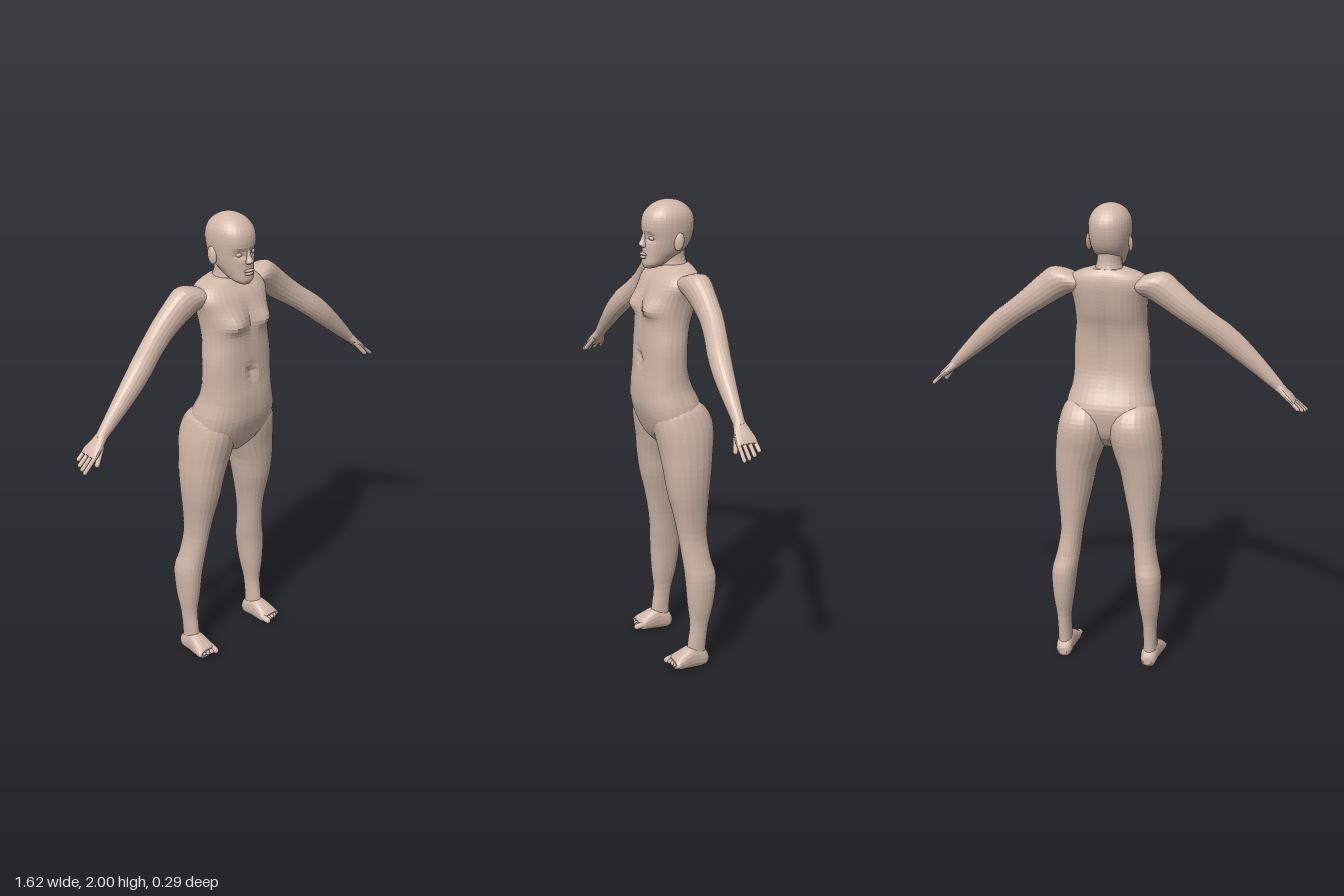
import * as THREE from 'three';

const skin = new THREE.MeshStandardMaterial({ color: 0xd0b6a7 });
skin.name = 'skin';
const X = new THREE.Vector3(1, 0, 0), Y = new THREE.Vector3(0, 1, 0), Z = new THREE.Vector3(0, 0, 1);

// Catmull-Rom blend between key rings
function refine(keys, sub) {
  const out = [];
  for (let i = 0; i < keys.length - 1; i++) {
    const p = [-1, 0, 1, 2].map(k => keys[Math.min(keys.length - 1, Math.max(0, i + k))]);
    for (let s = 0; s < sub; s++) {
      const t = s / sub;
      out.push(p[1].map((b, c) => {
        const a = p[0][c], d = p[2][c], e = p[3][c];
        return b + 0.5 * t * (d - a + t * (2 * a - 5 * b + 4 * d - e + t * (3 * (b - d) + e - a)));
      }));
    }
  }
  out.push(keys[keys.length - 1]);
  return out;
}

// Skin over rings [cx, cy, cz, ra, rb] whose half-axes lie along A and B
function loft(keys, A, B, { segs = 20, sub = 3, power = 1, rule, side = 1 } = {}) {
  const rings = refine(keys, sub), n = rings.length, pos = [], idx = [];
  const soft = v => Math.sign(v) * Math.abs(v) ** power;
  const add = v => { if (rule) rule(v); pos.push(v.x * side, v.y, v.z); };
  const centre = r => new THREE.Vector3(r[0], r[1], r[2]);
  for (const r of rings) for (let j = 0; j < segs; j++) {
    const t = (j / segs) * Math.PI * 2;
    add(centre(r).addScaledVector(A, soft(Math.cos(t)) * r[3]).addScaledVector(B, soft(Math.sin(t)) * r[4]));
  }
  add(centre(rings[0]));
  add(centre(rings[n - 1]));
  const way = centre(rings[n - 1]).sub(centre(rings[0])).dot(A.clone().cross(B)) * side;
  const tri = (a, b, c) => way > 0 ? idx.push(a, b, c) : idx.push(a, c, b);
  for (let j = 0; j < segs; j++) {
    const k = (j + 1) % segs;
    for (let i = 0; i < n - 1; i++) {
      const a = i * segs + j, b = i * segs + k;
      tri(a, b, b + segs);
      tri(a, b + segs, a + segs);
    }
    tri(n * segs, k, j);
    tri(n * segs + 1, (n - 1) * segs + j, (n - 1) * segs + k);
  }
  const g = new THREE.BufferGeometry();
  g.setAttribute('position', new THREE.Float32BufferAttribute(pos, 3));
  g.setIndex(idx);
  const flat = g.toNonIndexed();
  flat.computeVertexNormals();
  return flat;
}

// Horizontal ring from its y, left and right x, front and back z
const level = (y, x0, x1, zf, zb) => [(x0 + x1) / 2, y, (zf + zb) / 2, (x1 - x0) / 2, (zf - zb) / 2];
const bump = (dx, dy, wx, wy) => Math.exp(-((dx / wx) ** 2) - (dy / wy) ** 2);

export function createModel() {
  const model = new THREE.Group();
  model.name = 'figure';
  const put = (name, geometry, parent = model) => {
    const m = new THREE.Mesh(geometry, skin);
    m.name = name;
    parent.add(m);
    return m;
  };
  const ball = (name, x, y, z, rx, ry, rz, parent = model) => {
    const m = put(name, new THREE.SphereGeometry(1, 12, 8), parent);
    m.position.set(x, y, z);
    m.scale.set(rx, ry, rz);
    return m;
  };
  // Rounded digit between two points
  const digit = (name, from, to, r, parent) => {
    const a = new THREE.Vector3(...from), d = new THREE.Vector3(...to).sub(a);
    const m = put(name, new THREE.CapsuleGeometry(r, d.length(), 3, 8), parent);
    m.position.copy(a).addScaledVector(d, 0.5);
    m.quaternion.setFromUnitVectors(Y, d.normalize());
  };

  // Torso, with chest, navel and spine shaped by rule
  const torso = [
    [0.99, 0.03, 0.05, -0.04], [1.04, 0.1, 0.095, -0.09], [1.1, 0.18, 0.118, -0.11],
    [1.17, 0.186, 0.137, -0.115], [1.25, 0.166, 0.138, -0.08], [1.32, 0.16, 0.13, -0.06],
    [1.42, 0.158, 0.125, -0.058], [1.5, 0.148, 0.122, -0.07], [1.56, 0.148, 0.122, -0.088],
    [1.62, 0.155, 0.11, -0.1], [1.68, 0.168, 0.085, -0.106], [1.72, 0.145, 0.052, -0.1],
    [1.745, 0.075, 0.03, -0.085]];
  put('torso', loft(torso.map(([y, w, f, b]) => level(y, -w, w, f, b)), X, Z, {
    segs: 36, sub: 4, power: 0.82,
    rule: v => {
      if (v.z > 0.04) {
        v.z += 0.026 * bump(Math.abs(v.x) - 0.08, v.y - 1.575, 0.045, v.y < 1.575 ? 0.025 : 0.05);
        v.z -= 0.014 * bump(v.x, v.y - 1.365, 0.015, 0.03);
        v.z -= 0.008 * bump(v.x, v.y - 1.58, 0.025, 0.08);
      } else if (v.z < -0.02) v.z += 0.014 * bump(v.x, v.y - 1.45, 0.028, 0.22);
    } }));

  // Neck
  put('neck', loft([level(1.68, -0.085, 0.085, 0.05, -0.09), level(1.73, -0.062, 0.062, 0.04, -0.085),
    level(1.77, -0.05, 0.05, 0.042, -0.075), level(1.83, -0.05, 0.05, 0.04, -0.075)], X, Z));

  // Head, with eye sockets pressed in
  const head = [
    [1.733, 0.022, 0.1, 0.05], [1.75, 0.045, 0.108, 0.015], [1.78, 0.06, 0.106, -0.035],
    [1.81, 0.072, 0.104, -0.078], [1.85, 0.081, 0.103, -0.1], [1.9, 0.086, 0.108, -0.109],
    [1.94, 0.082, 0.1, -0.102], [1.972, 0.063, 0.074, -0.078], [1.992, 0.035, 0.04, -0.045], [2, 0.004, 0.004, -0.006]];
  put('head', loft(head.map(([y, w, f, b]) => level(y, -w, w, f, b)), X, Z, {
    segs: 32, sub: 3, power: 0.92,
    rule: v => { if (v.z > 0.03) v.z -= 0.014 * bump(Math.abs(v.x) - 0.034, v.y - 1.856, 0.02, 0.016); } }));
  put('nose', loft([[0, 1.872, 0.098, 0.008, 0.008], [0, 1.845, 0.105, 0.009, 0.012],
    [0, 1.826, 0.108, 0.016, 0.017], [0, 1.817, 0.105, 0.014, 0.01]], X, Z, { segs: 12 }));
  ball('upperLip', 0, 1.789, 0.106, 0.026, 0.006, 0.011);
  ball('lowerLip', 0, 1.777, 0.105, 0.022, 0.007, 0.011);

  for (const side of [1, -1]) {
    const tag = side > 0 ? 'left' : 'right';
    const half = (name, keys, A, B, o = {}) => put(tag + name, loft(keys, A, B, { ...o, side }));
    ball(tag + 'Eye', side * 0.034, 1.855, 0.084, 0.016, 0.009, 0.009);
    const ear = ball(tag + 'Ear', side * 0.086, 1.842, -0.012, 0.009, 0.036, 0.02);
    ear.rotation.set(-0.2, side * -0.35, 0);

    // Leg with buttock
    half('Leg', [
      [1.19, 0.06, 0.165, 0.06, -0.08], [1.16, 0.02, 0.192, 0.095, -0.115], [1.11, 0.006, 0.208, 0.105, -0.143],
      [1.05, 0.006, 0.22, 0.098, -0.148], [0.98, 0.022, 0.227, 0.085, -0.138], [0.9, 0.05, 0.23, 0.075, -0.128],
      [0.8, 0.07, 0.224, 0.06, -0.117], [0.7, 0.092, 0.212, 0.036, -0.11], [0.6, 0.11, 0.206, 0.018, -0.108],
      [0.5, 0.12, 0.222, 0.005, -0.12], [0.42, 0.13, 0.24, -0.002, -0.138], [0.3, 0.145, 0.236, -0.01, -0.126],
      [0.2, 0.161, 0.224, -0.02, -0.103], [0.1, 0.163, 0.222, -0.008, -0.092], [0.04, 0.163, 0.222, -0.01, -0.092],
    ].map(r => level(...r)), X, Z, { segs: 24, power: 0.92 });

    // Foot, rings run from heel to ball: z, x, bottom, top, half width
    half('Foot', [
      [-0.103, 0.191, 0.02, 0.05, 0.018], [-0.085, 0.191, 0.002, 0.08, 0.034], [-0.03, 0.193, 0.002, 0.105, 0.038],
      [0.02, 0.195, 0.008, 0.088, 0.045], [0.05, 0.196, 0.015, 0.07, 0.048], [0.064, 0.197, 0.022, 0.058, 0.042],
    ].map(([z, x, b, t, w]) => [x, (b + t) / 2, z, w, (t - b) / 2]), X, Y, { segs: 18, power: 0.85 });
    const toes = new THREE.Group();
    toes.name = tag + 'Toes';
    model.add(toes);
    for (let i = 0; i < 5; i++) {
      const x = 0.16 + i * 0.0185, r = i ? 0.0095 : 0.014;
      digit('toe', [side * x, 0.05, 0.04], [side * (x + 0.003), 0.042, 0.078 - i * 0.005], r, toes);
    }

    // Arm, rings tilt across the limb
    const across = new THREE.Vector3(0.62, 0.78, 0);
    half('Arm', [
      [0.1, 1.685, -0.03, 0.035, 0.05], [0.15, 1.69, -0.032, 0.058, 0.06], [0.2, 1.685, -0.034, 0.067, 0.058],
      [0.26, 1.645, -0.036, 0.062, 0.05], [0.33, 1.592, -0.033, 0.055, 0.046], [0.4, 1.54, -0.018, 0.05, 0.045],
      [0.46, 1.495, 0, 0.05, 0.045], [0.53, 1.435, 0.014, 0.046, 0.041], [0.61, 1.362, 0.022, 0.036, 0.032],
      [0.68, 1.296, 0.026, 0.025, 0.024], [0.7, 1.276, 0.027, 0.021, 0.024],
    ], across, Z);

    // Hand and digits
    half('Hand', [[0.685, 1.29, 0.027, 0.021, 0.022], [0.715, 1.262, 0.027, 0.018, 0.034],
      [0.74, 1.24, 0.026, 0.016, 0.043], [0.757, 1.224, 0.026, 0.011, 0.043]], across, Z, { segs: 16, power: 0.85 });
    const fingers = new THREE.Group();
    fingers.name = tag + 'Fingers';
    model.add(fingers);
    [[-0.012, 0.776], [0.014, 0.79], [0.039, 0.798], [0.062, 0.803]].forEach(([z, x]) => {
      digit('finger', [side * 0.745, 1.234, z * 0.9 + 0.003], [side * x, 1.185 + (0.803 - x) * 0.7, z], 0.0085, fingers);
    });
    digit('thumb', [side * 0.71, 1.255, 0.05], [side * 0.752, 1.203, 0.072], 0.01, fingers);
  }
  return model;
}
